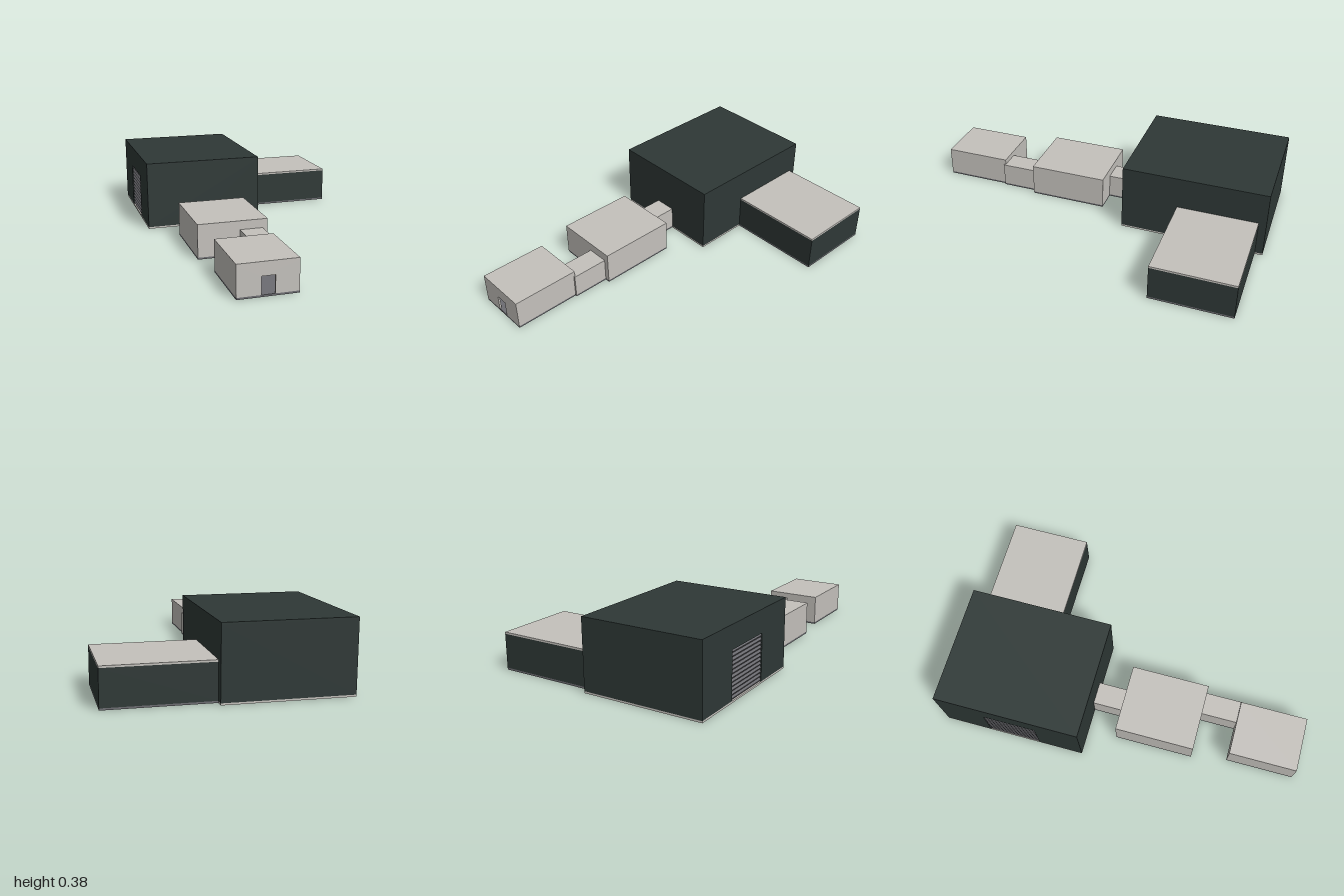
import * as THREE from 'three';

const T = 0.01; // thickness of walls, floors and roofs

const mat = (name, color, side = THREE.FrontSide) => {
  const m = new THREE.MeshStandardMaterial({ color, side });
  m.name = name;
  return m;
};

export function createModel() {
  const model = new THREE.Group();
  model.name = 'facility';
  const pale = mat('pale concrete', 0xc4c1bc);
  const dark = mat('dark green cladding', 0x2e3836);
  const grey = mat('grey metal', 0x6c6c71);

  const addMesh = (parent, name, geometry, material) => {
    const mesh = new THREE.Mesh(geometry, material);
    mesh.name = name;
    parent.add(mesh);
    return mesh;
  };

  // Box given by its lower and upper limits
  const block = (parent, name, [x0, x1], [y0, y1], [z0, z1], material) => {
    const g = new THREE.BoxGeometry(x1 - x0, y1 - y0, z1 - z0);
    g.translate((x0 + x1) / 2, (y0 + y1) / 2, (z0 + z1) / 2);
    return addMesh(parent, name, g, material);
  };

  // Upright wall from u0 to u1, with an optional doorway [d0, d1, top]
  const wallGeometry = (u0, u1, top, door) => {
    const s = new THREE.Shape();
    s.moveTo(u0, T);
    if (door) {
      s.lineTo(door[0], T);
      s.lineTo(door[0], door[2]);
      s.lineTo(door[1], door[2]);
      s.lineTo(door[1], T);
    }
    s.lineTo(u1, T);
    s.lineTo(u1, top);
    s.lineTo(u0, top);
    s.closePath();
    return new THREE.ExtrudeGeometry(s, { depth: T, bevelEnabled: false });
  };

  // Hollow room: floor slab, four walls with doorways, roof slab
  const room = (name, [x0, x1], [z0, z1], h, mats, doors = {}) => {
    const g = new THREE.Group();
    g.name = name;
    model.add(g);
    block(g, 'floor', [x0, x1], [0, T], [z0, z1], mats.floor);
    block(g, 'roof', [x0, x1], [h - T, h], [z0, z1], mats.roof);
    for (const [side, z] of [['front', z1 - T], ['back', z0]]) {
      const wall = wallGeometry(x0, x1, h - T, doors[side]);
      addMesh(g, side + 'Wall', wall.translate(0, 0, z), mats.wall);
    }
    for (const [side, x] of [['left', x1 - T], ['right', x0]]) {
      const d = doors[side];
      const wall = wallGeometry(-z1 + T, -z0 - T, h - T, d && [-d[1], -d[0], d[2]]);
      addMesh(g, side + 'Wall', wall.rotateY(Math.PI / 2).translate(x, 0, 0), mats.wall);
    }
    return g;
  };

  const paleSet = { floor: grey, wall: pale, roof: pale };
  const frontLink = [-0.228, -0.14, 0.11];
  const rearLink = [-0.325, -0.23, 0.11];
  const annexLink = [-0.79, -0.68, 0.12];

  // Main hall and its side annex
  const hall = room('mainHall', [-0.61, 0.055], [-1, -0.19], 0.385,
    { floor: pale, wall: dark, roof: dark },
    { front: rearLink, left: annexLink, right: [-0.737, -0.444, 0.262] });
  room('sideAnnex', [0.055, 0.605], [-0.958, -0.507], 0.205,
    { floor: grey, wall: dark, roof: pale }, { right: annexLink });

  // Chain of pale rooms and corridors leading to the hall
  const entry = room('entryRoom', [-0.43, -0.125], [0.62, 1], 0.17, paleSet,
    { front: [-0.31, -0.243, 0.1], back: frontLink });
  room('frontCorridor', [-0.24, -0.115], [0.42, 0.628], 0.14, paleSet,
    { front: frontLink, back: frontLink });
  room('middleRoom', [-0.465, -0.087], [-0.025, 0.42], 0.188, paleSet,
    { front: frontLink, back: rearLink });
  room('rearCorridor', [-0.34, -0.215], [-0.19, -0.025], 0.14, paleSet,
    { front: rearLink, back: rearLink });

  // Counter inside the entry room
  block(entry, 'counterBase', [-0.34, -0.25], [T, 0.038], [0.72, 0.77], dark);
  block(entry, 'counterTop', [-0.345, -0.24], [0.038, 0.05], [0.715, 0.78], pale);

  // Roller shutter: a pleated sheet of slats closing the loading door
  const pleats = new THREE.Shape();
  const slats = 12, step = 0.252 / slats;
  pleats.moveTo(-0.601, T);
  for (let i = 0; i < slats; i++) {
    pleats.lineTo(-0.608, T + (i + 0.5) * step);
    pleats.lineTo(-0.601, T + (i + 1) * step);
  }
  pleats.lineTo(-0.597, T + slats * step);
  pleats.lineTo(-0.597, T);
  pleats.closePath();
  const shutter = new THREE.ExtrudeGeometry(pleats, { depth: 0.293, bevelEnabled: false });
  addMesh(hall, 'rollerShutter', shutter.translate(0, 0, -0.737), grey);

  return model;
}
